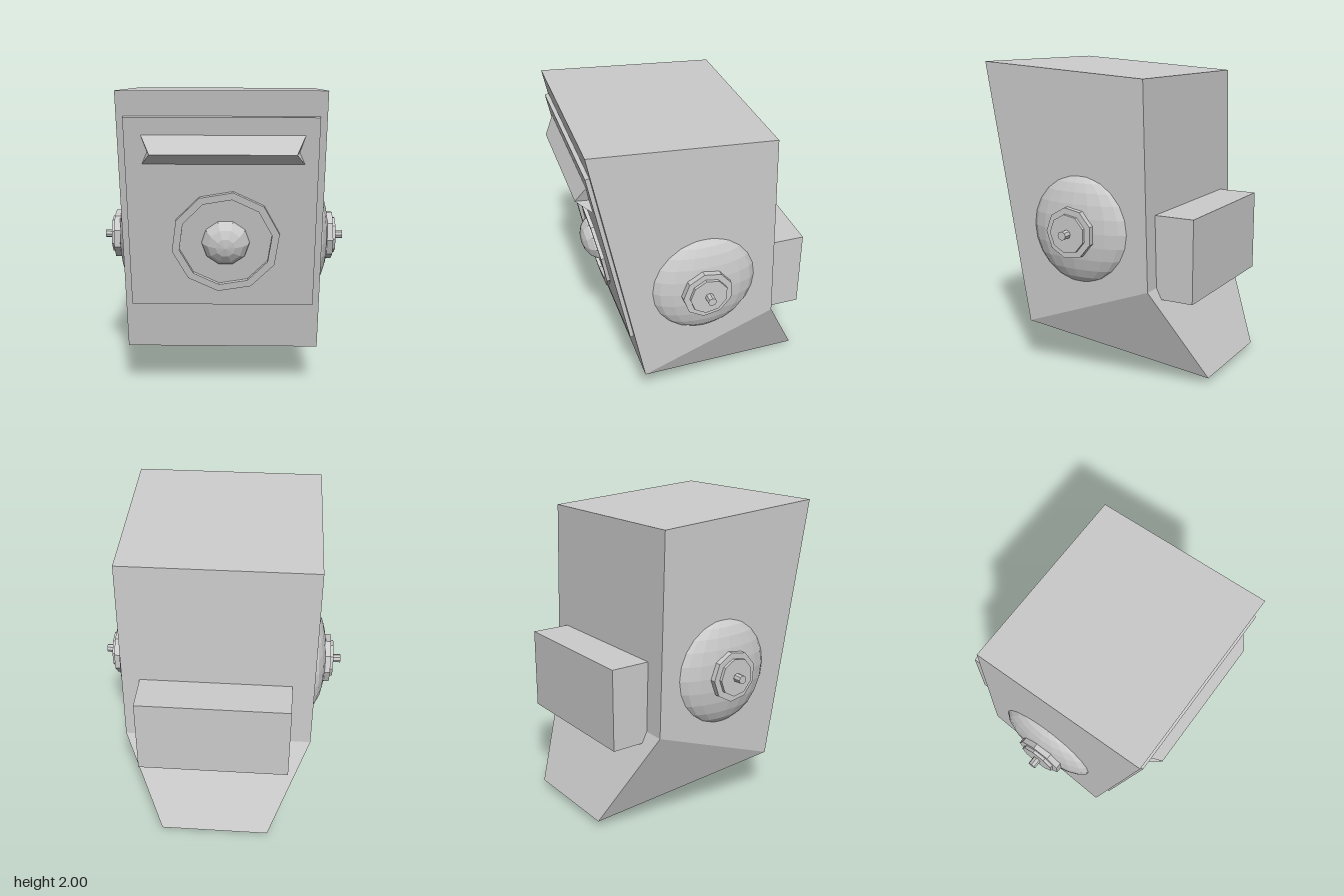
import * as THREE from 'three';
import { ConvexGeometry } from 'three/addons/geometries/ConvexGeometry.js';

const grey = new THREE.MeshStandardMaterial({ color: 0xcccccc, flatShading: true });

function add(parent, name, geometry, x = 0, y = 0, z = 0) {
  const mesh = new THREE.Mesh(geometry, grey);
  mesh.name = name;
  mesh.position.set(x, y, z);
  parent.add(mesh);
  return mesh;
}

// Convex solid from [halfWidth, y, z] rows, each mirrored about x = cx
function hull(rows, cx) {
  const points = [];
  for (const [w, y, z] of rows) {
    for (const s of [-1, 1]) points.push(new THREE.Vector3(cx + s * w, y, z));
  }
  return new ConvexGeometry(points);
}

// Solid from a loop of [halfWidth, y, z] rows: a band of quads round the
// loop, and both sides fanned from the last row
function mirroredLoop(rows) {
  const n = rows.length;
  const positions = [];
  const corner = (i, s) => positions.push(s * rows[i % n][0], rows[i % n][1], rows[i % n][2]);
  const triangle = (...corners) => corners.forEach(([i, s]) => corner(i, s));
  for (let i = 0; i < n; i++) {
    triangle([i, 1], [i + 1, 1], [i + 1, -1]);
    triangle([i, 1], [i + 1, -1], [i, -1]);
  }
  for (let i = 0; i < n - 2; i++) {
    triangle([n - 1, 1], [i + 1, 1], [i, 1]);
    triangle([n - 1, -1], [i, -1], [i + 1, -1]);
  }
  const geometry = new THREE.BufferGeometry();
  geometry.setAttribute('position', new THREE.Float32BufferAttribute(positions, 3));
  geometry.computeVertexNormals();
  return geometry;
}

// Points of a regular polygon outline
function polygon(radius, sides, start) {
  return Array.from({ length: sides }, (_, i) => {
    const a = start + (i / sides) * Math.PI * 2;
    return new THREE.Vector2(radius * Math.cos(a), radius * Math.sin(a));
  });
}

export function createModel() {
  const model = new THREE.Group();
  model.name = 'cabinet';

  // Leaning body, kinked at the back, with a tapered, slanted underside
  add(model, 'body', mirroredLoop([
    [0.622, 2.0, 0.73],
    [0.622, 1.92, -0.43],
    [0.622, 0.628, -0.468],
    [0.36, 0.037, -0.767],
    [0.622, 0.297, 0.42],
  ]));

  // Box on the back
  add(model, 'backBox', new THREE.BoxGeometry(0.985, 0.532, 0.26), 0.013, 0.823, -0.585);

  // Front fittings, laid out on the tilted face (local z = outwards)
  const front = new THREE.Group();
  front.name = 'frontFittings';
  front.position.set(0, 1.055, 0.558);
  front.rotation.x = Math.atan2(0.31, 1.7);
  model.add(front);

  add(front, 'frontPanel', new THREE.BoxGeometry(1.16, 1.248, 0.045), 0, 0.183, 0.003);

  const ringShape = new THREE.Shape(polygon(0.34, 10, 1.43));
  ringShape.holes.push(new THREE.Path(polygon(0.293, 10, 1.43)));
  add(front, 'dialRing', new THREE.ExtrudeGeometry(ringShape, { depth: 0.048, bevelEnabled: false }), 0.022, 0.006, 0);

  const knob = add(front, 'dialKnob', new THREE.SphereGeometry(0.156, 10, 8), 0.022, 0, 0.005);
  knob.geometry.rotateX(Math.PI / 2);
  knob.scale.z = 0.71;

  // Ledge of two wedges meeting at the ridge, with notched ends
  const ridge = [[0.435, 1.63, 0.77], [0.455, 1.635, 0.685]];
  add(model, 'ledgeTop', hull([[0.49, 1.742, 0.706], ...ridge], 0.01));
  add(model, 'ledgeUnderside', hull([[0.49, 1.556, 0.672], ...ridge], 0.01));

  // Side domes with stepped hubs and pins
  for (const side of [1, -1]) {
    const group = new THREE.Group();
    group.name = side > 0 ? 'leftDome' : 'rightDome';
    group.position.set(0, 0.97, 0.02);
    if (side < 0) group.rotation.y = Math.PI;
    model.add(group);

    const dome = add(group, 'dome', new THREE.SphereGeometry(0.348, 18, 12), 0.6, 0, 0);
    dome.scale.x = 0.32;

    const hubs = [
      ['hub', 0.164, 0.68, 0.735, 9],
      ['hubCap', 0.124, 0.73, 0.755, 9],
      ['pin', 0.028, 0.75, 0.81, 8],
    ];
    for (const [name, r, x0, x1, sides] of hubs) {
      const geometry = new THREE.CylinderGeometry(r, r, x1 - x0, sides);
      geometry.rotateZ(-Math.PI / 2);
      add(group, name, geometry, (x0 + x1) / 2, -0.006, side * 0.01);
    }
  }

  // Pair of small wheels under the rear
  for (const x of [-0.048, 0.068]) {
    const wheel = new THREE.CylinderGeometry(0.113, 0.113, 0.053, 12);
    wheel.rotateZ(Math.PI / 2);
    add(model, 'wheel', wheel, x, 0.113, -0.405);
  }

  return model;
}
